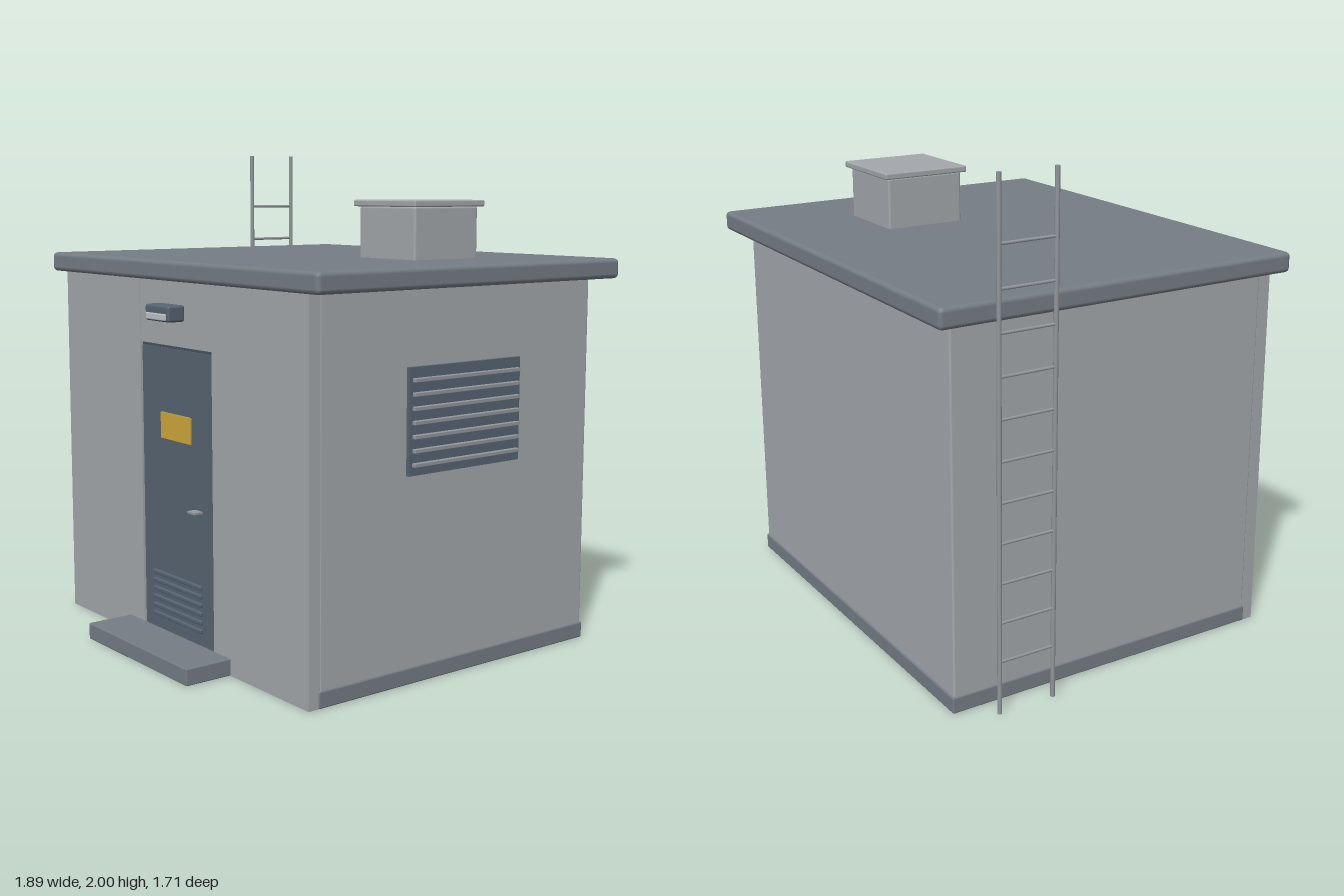
import * as THREE from 'three';
import { RoundedBoxGeometry } from 'three/addons/geometries/RoundedBoxGeometry.js';

const mat = (name, color) => {
  const m = new THREE.MeshStandardMaterial({ color });
  m.name = name;
  return m;
};

export function createModel() {
  const wall = mat('wall concrete', 0xa3a8ac);
  const roof = mat('roof grey', 0x757d85);
  const door = mat('door blue grey', 0x566472);
  const dark = mat('dark trim', 0x46525e);
  const metal = mat('galvanised metal', 0x92979c);
  const yellow = mat('sign yellow', 0xcfa838);
  const lens = mat('lamp lens', 0xbcc3c8);

  const model = new THREE.Group();
  model.name = 'utilityHut';

  // Box given by its limits on each axis, optionally with rounded edges
  function box(name, material, [x0, x1], [y0, y1], [z0, z1], radius = 0, parent = model) {
    const size = [x1 - x0, y1 - y0, z1 - z0];
    const geo = radius ? new RoundedBoxGeometry(...size, 2, radius) : new THREE.BoxGeometry(...size);
    const mesh = new THREE.Mesh(geo, material);
    mesh.position.set((x0 + x1) / 2, (y0 + y1) / 2, (z0 + z1) / 2);
    mesh.name = name;
    parent.add(mesh);
    return mesh;
  }
  function group(name) {
    const g = new THREE.Group();
    g.name = name;
    model.add(g);
    return g;
  }

  // Shell: main body, front wall panels, plinth and roof slab
  box('body', wall, [-0.853, 0.858], [0.002, 1.492], [-0.77, 0.605], 0.008);
  box('frontWallLeft', wall, [0.26, 0.858], [0, 1.492], [0.603, 0.655]);
  box('frontWallRight', wall, [-0.853, -0.253], [0, 1.492], [0.603, 0.655]);
  box('lintel', wall, [-0.253, 0.26], [1.235, 1.492], [0.603, 0.653]);
  box('plinth', roof, [-0.857, 0.863], [0, 0.065], [-0.776, 0.61], 0.006);
  box('roofSlab', roof, [-0.938, 0.943], [1.49, 1.57], [-0.855, 0.682], 0.018);

  // Roof ventilation box with cap
  box('roofVent', wall, [0.235, 0.57], [1.56, 1.777], [-0.425, -0.088], 0.01);
  box('roofVentCap', wall, [0.217, 0.59], [1.775, 1.801], [-0.445, -0.07], 0.006);

  // Entrance
  box('doorFrame', dark, [-0.253, 0.26], [0.06, 1.235], [0.603, 0.642]);
  box('doorLeaf', door, [-0.245, 0.252], [0.065, 1.222], [0.61, 0.65]);
  box('doorSign', yellow, [-0.103, 0.11], [0.86, 0.965], [0.65, 0.657]);
  box('doorHandle', metal, [0.132, 0.184], [0.598, 0.606], [0.65, 0.69]);
  box('doorStep', roof, [-0.366, 0.371], [0, 0.067], [0.652, 0.855], 0.005);

  // Slats low on the door
  const doorVent = group('doorVent');
  for (let i = 0; i < 6; i++) {
    const y = 0.125 + i * 0.035;
    box('doorSlat', door, [-0.17, 0.177], [y - 0.008, y + 0.008], [0.645, 0.663], 0.004, doorVent);
  }

  // Lamp above the door
  const lamp = group('entranceLamp');
  box('lampMount', dark, [-0.05, 0.06], [1.345, 1.39], [0.65, 0.668], 0, lamp);
  box('lampHousing', door, [-0.08, 0.09], [1.338, 1.402], [0.66, 0.737], 0.01, lamp);
  box('lampLens', lens, [-0.063, 0.074], [1.344, 1.37], [0.7, 0.745], 0.004, lamp);

  // Side louvre
  const louvre = group('sideLouvre');
  box('louvrePanel', door, [0.85, 0.874], [0.8, 1.203], [-0.367, 0.202], 0, louvre);
  for (let i = 0; i < 7; i++) {
    const y = 0.84 + i * 0.0525;
    box('louvreSlat', metal, [0.87, 0.89], [y - 0.008, y + 0.008], [-0.355, 0.187], 0.003, louvre);
  }

  // Roof ladder
  const ladder = group('ladder');
  const rail = new THREE.CylinderGeometry(0.009, 0.009, 2, 10);
  for (const z of [-0.395, -0.627]) {
    const m = new THREE.Mesh(rail, metal);
    m.position.set(-0.939, 1, z);
    m.name = 'ladderRail';
    ladder.add(m);
  }
  const rung = new THREE.CylinderGeometry(0.006, 0.006, 0.232, 8).rotateX(Math.PI / 2);
  for (let i = 0; i < 11; i++) {
    const m = new THREE.Mesh(rung, metal);
    m.position.set(-0.939, 0.21 + i * 0.155, -0.511);
    m.name = 'ladderRung';
    ladder.add(m);
  }
  return model;
}
